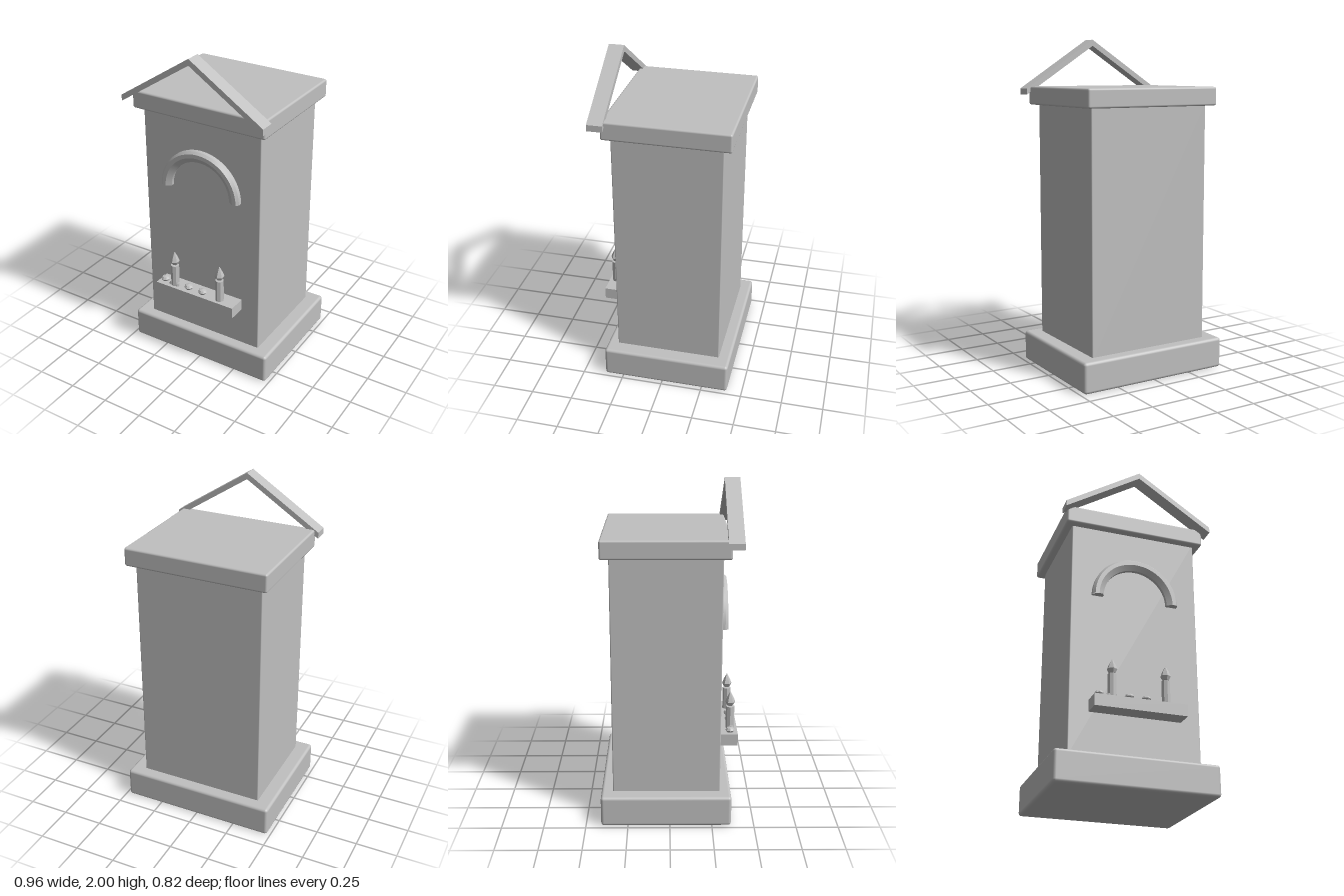
import * as THREE from 'three';
import { toCreasedNormals } from 'three/addons/utils/BufferGeometryUtils.js';
import { RoundedBoxGeometry } from 'three/addons/geometries/RoundedBoxGeometry.js';

export function createModel() {
  const model = new THREE.Group();
  model.name = 'shrine';
  const stone = new THREE.MeshStandardMaterial({ color: 0xc0c0c0 });
  stone.name = 'stone grey';

  const add = (name, geometry, x = 0, y = 0, z = 0, parent = model) => {
    const mesh = new THREE.Mesh(geometry, stone);
    mesh.name = name;
    mesh.position.set(x, y, z);
    parent.add(mesh);
    return mesh;
  };
  // Box with softened edges, given by its half width and its y and z limits
  const block = (name, hw, y0, y1, z0, z1, bevel) =>
    add(name, new RoundedBoxGeometry(hw * 2, y1 - y0, z1 - z0, 2, bevel),
      0, (y0 + y1) / 2, (z0 + z1) / 2);
  const faceted = (geometry) => toCreasedNormals(geometry, 0.3);

  // Main masonry
  block('base', 0.48, 0, 0.185, -0.41, 0.365, 0.018);
  block('body', 0.39, 0.17, 1.62, -0.34, 0.3, 0.006);
  block('cap', 0.435, 1.605, 1.715, -0.39, 0.345, 0.012);

  // Gable: a chevron strip standing at the front of the cap
  const chevron = new THREE.Shape([
    [-0.46, 1.665], [0, 1.962], [0.46, 1.665], [0.46, 1.702], [0, 2], [-0.46, 1.702],
  ].map(([x, y]) => new THREE.Vector2(x, y)));
  add('gable', new THREE.ExtrudeGeometry(chevron, { depth: 0.09, bevelEnabled: false }), 0, 0, 0.32);

  // Arch moulding: half turn of a chamfered section, closed at both feet
  const section = [
    [0.265, 0], [0.265, 0.025], [0.252, 0.041], [0.228, 0.041], [0.197, 0.022], [0.197, 0],
  ].map(([r, z]) => new THREE.Vector2(r, z));
  const arch = new THREE.Group();
  arch.name = 'arch';
  arch.position.set(0, 1.155, 0.299);
  model.add(arch);
  const sweep = new THREE.LatheGeometry(section, 28, Math.PI / 2, Math.PI);
  sweep.rotateX(Math.PI / 2);
  add('archMoulding', toCreasedNormals(sweep, 0.4), 0, 0, 0, arch);
  for (const side of [-1, 1]) {
    const foot = new THREE.ShapeGeometry(new THREE.Shape(section));
    foot.rotateX(Math.PI / 2); // section height becomes depth, facing down
    if (side < 0) foot.translate(-0.462, 0, 0);
    add('archFoot', foot, 0, 0, 0, arch);
  }

  // Offering shelf
  add('shelf', new THREE.BoxGeometry(0.546, 0.07, 0.12), 0, 0.465, 0.35);

  // Candles with pointed flames
  const flameProfile = [[0, 0], [0.018, 0.006], [0.03, 0.03], [0.02, 0.058], [0, 0.095]]
    .map(([r, y]) => new THREE.Vector2(r, y));
  for (const x of [-0.16, 0.16]) {
    const candle = new THREE.Group();
    candle.name = x < 0 ? 'rightCandle' : 'leftCandle';
    candle.position.set(x, 0.5, 0.368);
    model.add(candle);
    add('candleStick', faceted(new THREE.CylinderGeometry(0.026, 0.026, 0.14, 8)), 0, 0.07, 0, candle);
    add('flame', faceted(new THREE.LatheGeometry(flameProfile, 6)), 0, 0.14, 0, candle);
  }

  // Small offerings resting on the shelf
  const offering = new THREE.SphereGeometry(0.028, 8, 4);
  offering.scale(1, 0.65, 1);
  for (const [x, z] of [[-0.235, 0.365], [-0.06, 0.37], [0.04, 0.37]]) {
    add('offering', faceted(offering), x, 0.517, z);
  }
  for (const dx of [-0.022, 0.022]) {
    add('waxDrip', faceted(new THREE.CylinderGeometry(0.012, 0.015, 0.02, 6)), -0.16 + dx, 0.51, 0.375);
  }
  return model;
}
